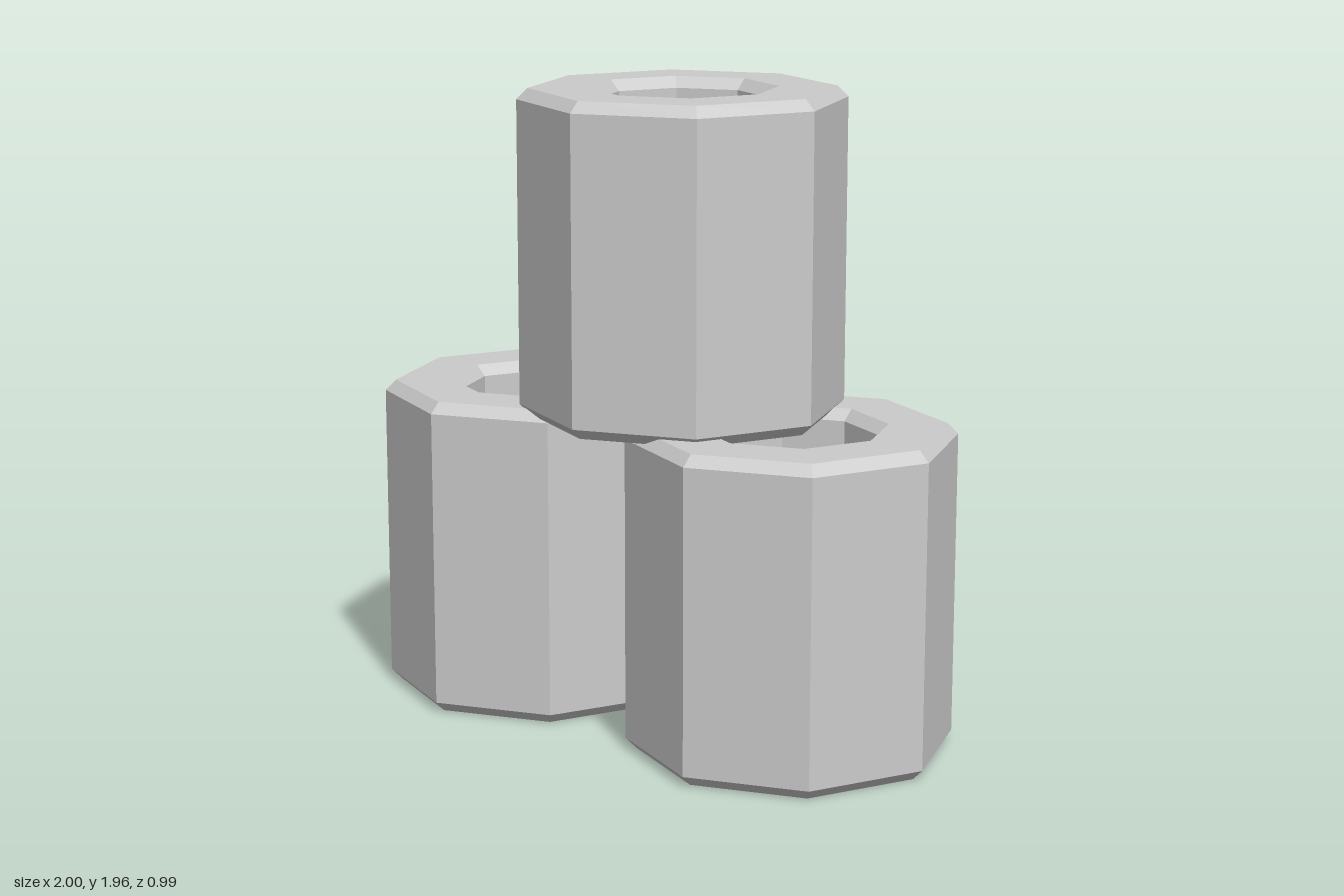
import * as THREE from 'three';

const OUTER = 0.495, BORE = 0.255, HEIGHT = 0.99, BEVEL = 0.033;

// Octagonal tube with bevelled outer and inner rims, standing on y = 0
function tubeGeometry() {
  const profile = [
    [OUTER - BEVEL, 0],
    [OUTER, BEVEL],
    [OUTER, HEIGHT - BEVEL],
    [OUTER - BEVEL, HEIGHT],
    [BORE + BEVEL, HEIGHT],
    [BORE, HEIGHT - BEVEL],
    [BORE, BEVEL],
    [BORE + BEVEL, 0],
    [OUTER - BEVEL, 0],
  ].map(([r, y]) => new THREE.Vector2(r, y));
  const geometry = new THREE.LatheGeometry(profile, 8).toNonIndexed();
  geometry.computeVertexNormals();
  return geometry;
}

export function createModel() {
  const model = new THREE.Group();
  model.name = 'stackedTubes';
  const material = new THREE.MeshStandardMaterial({ color: 0xcccccc, flatShading: true });
  const geometry = tubeGeometry();

  // Two tubes side by side, a third resting across them
  const tubes = [
    ['rightTube', -0.505, 0],
    ['leftTube', 0.505, 0],
    ['topTube', 0.08, 0.967],
  ];
  for (const [name, x, y] of tubes) {
    const tube = new THREE.Mesh(geometry, material);
    tube.name = name;
    tube.position.set(x, y, 0);
    model.add(tube);
  }
  return model;
}
